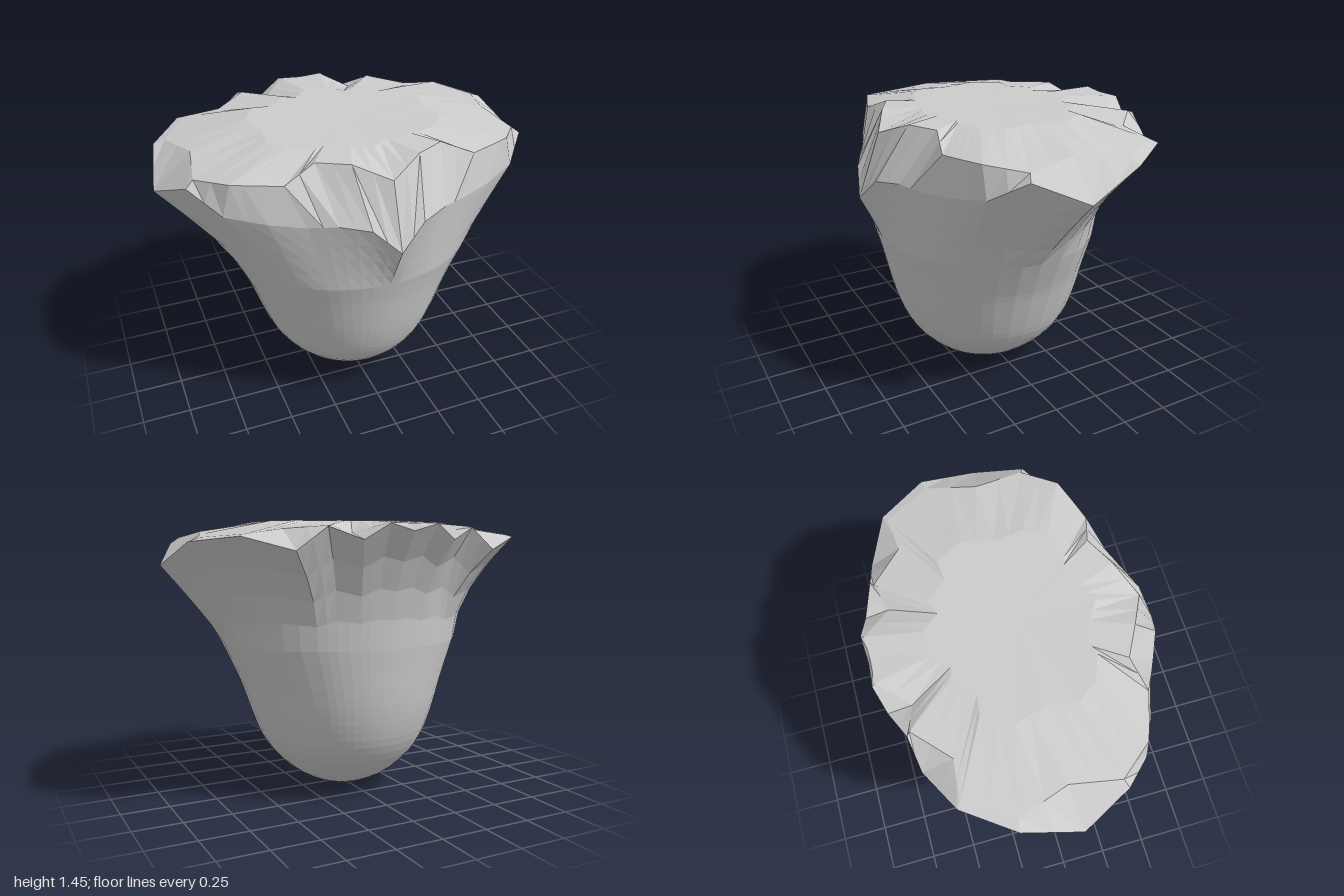
import * as THREE from 'three';

const V = (x, y, z) => new THREE.Vector3(x, y, z);

// Half outlines run from the front (+z) round the left side to the back.
const outerRim = [
  [0, 1.06, .73], [.13, 1.18, .685], [.27, 1.2, .62], [.4, 1.19, .56], [.57, 1.21, .5],
  [.75, 1.24, .41], [.88, 1.34, .27], [1, 1.235, .03], [.94, 1.35, -.26], [.77, 1.375, -.5],
  [.55, 1.31, -.615], [.4, 1.42, -.635], [.25, 1.36, -.7], [.13, 1.435, -.735], [0, 1.4, -.73],
];
const innerRim = [
  [0, 1.38, .61], [.17, 1.45, .52], [.32, 1.45, .44], [.48, 1.385, .49], [.6, 1.39, .45],
  [.71, 1.395, .41], [.84, 1.37, .25], [.8, 1.4, 0], [.88, 1.37, -.25], [.74, 1.385, -.48],
  [.55, 1.41, -.46], [.38, 1.425, -.62], [.25, 1.39, -.58], [.12, 1.44, -.72], [0, 1.435, -.715],
];
// Lower body: half width, height, half depth
const profile = [
  [0, 0, 0], [.115, .014, .12], [.205, .05, .215], [.285, .1, .3], [.39, .2, .405],
  [.455, .3, .4675], [.495, .4, .505], [.53, .5, .53], [.565, .6, .5475], [.61, .7, .562], [.665, .82, .583],
];

// Mirrors a half outline into a closed ring and splits every edge in two
function closedRing(half) {
  const pts = half.map(p => V(...p));
  const mirrored = pts.slice(1, -1).reverse().map(p => V(-p.x, p.y, p.z));
  const all = [...pts, ...mirrored];
  return all.flatMap((p, i) => [p, p.clone().lerp(all[(i + 1) % all.length], .5)]);
}

// Skins a stack of closed rings
function loft(name, rings) {
  const n = rings[0].length;
  const index = [];
  for (let j = 0; j < rings.length - 1; j++) {
    for (let i = 0; i < n; i++) {
      const k = (i + 1) % n;
      const a = j * n + i, b = j * n + k, c = b + n, d = a + n;
      if (i < n / 2) index.push(a, b, c, a, c, d);
      else index.push(a, b, d, b, c, d);
    }
  }
  const geo = new THREE.BufferGeometry().setFromPoints(rings.flat());
  geo.setIndex(index);
  geo.computeVertexNormals();
  const mesh = new THREE.Mesh(geo, new THREE.MeshStandardMaterial({ color: 0xcccccc, flatShading: true }));
  mesh.name = name;
  return mesh;
}

export function createModel() {
  const group = new THREE.Group();
  group.name = 'flaredBowl';
  const rim = closedRing(outerRim);
  const inner = closedRing(innerRim);
  const angles = rim.map(p => Math.atan2(p.x, p.z / .73));

  // Rounded lower body with elliptical sections
  const curve = new THREE.CatmullRomCurve3(profile.map(p => V(...p)));
  const bodyRings = curve.getPoints(22).map(p => {
    const centre = .015 + .025 * (p.y / .82) ** 3;
    return angles.map(a => V(p.x * Math.sin(a), p.y, centre + p.z * Math.cos(a)));
  });
  group.add(loft('body', bodyRings));

  // Flare from the neck to the uneven rim, concave towards the back
  const neck = bodyRings[bodyRings.length - 1];
  const flareRings = [0, .25, .5, .75, 1].map(t => neck.map((p, i) => {
    const back = Math.max(0, -Math.cos(angles[i]));
    const s = t ** (1.1 + 1.3 * back);
    const r = rim[i];
    return V(p.x + (r.x - p.x) * s, p.y + (r.y - p.y) * t, p.z + (r.z - p.z) * s);
  }));
  group.add(loft('flare', flareRings));

  // Bevelled band between the outer and inner rim
  group.add(loft('rimBand', [rim, inner]));

  // Nearly flat top
  const plateau = inner.map(p => V(p.x * .55, 1.453, p.z * .62));
  const middle = inner.map(() => V(0, 1.45, 0));
  group.add(loft('top', [inner, plateau, middle]));

  return group;
}
